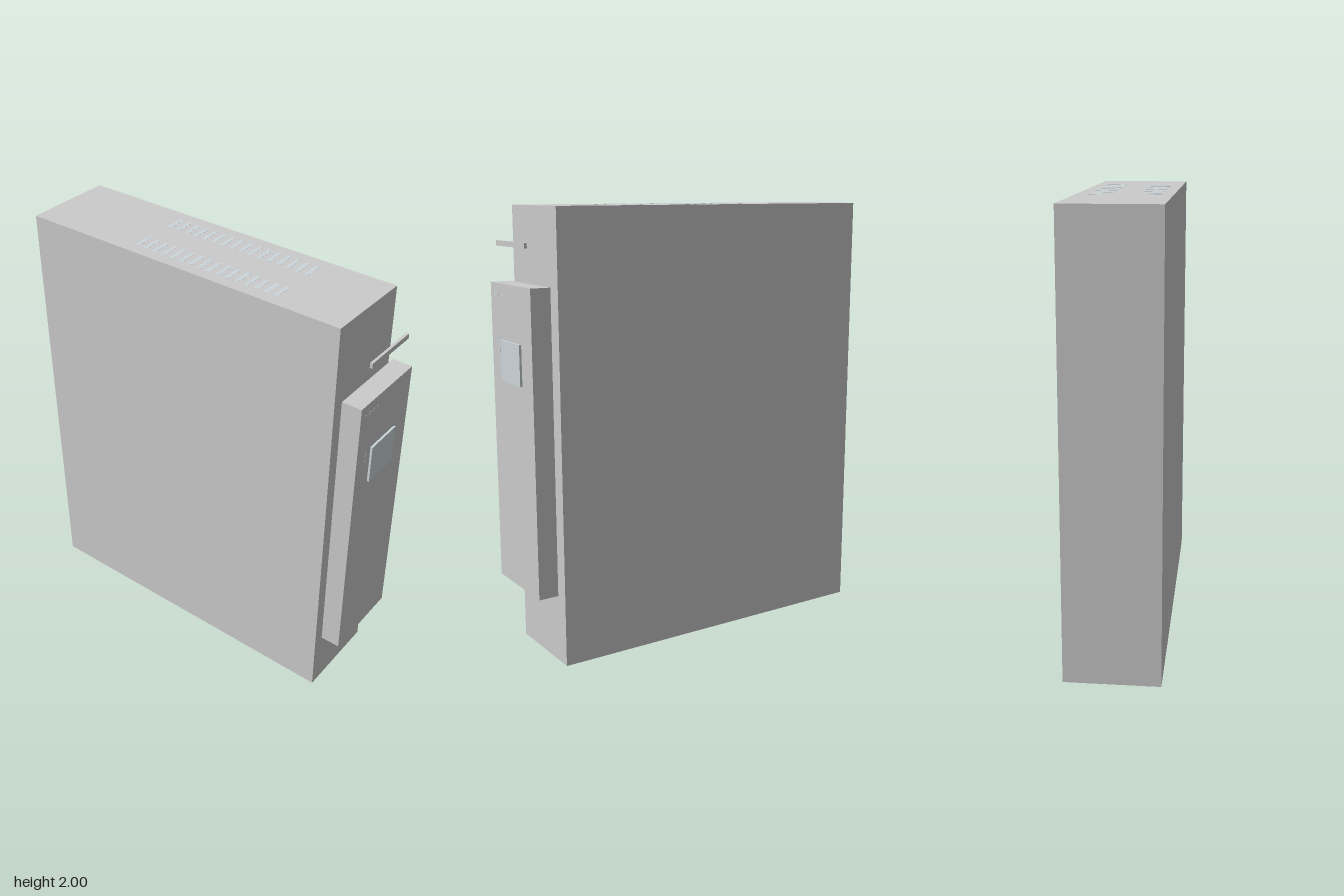
import * as THREE from 'three';

export function createModel() {
  const model = new THREE.Group();
  const grey = new THREE.MeshStandardMaterial({ color: 0xcccccc });
  const pale = new THREE.MeshStandardMaterial({ color: 0xccd6da });

  // Box given by its [min, max] range on each axis
  function box(name, [x0, x1], [y0, y1], [z0, z1], material = grey, parent = model) {
    const mesh = new THREE.Mesh(new THREE.BoxGeometry(x1 - x0, y1 - y0, z1 - z0), material);
    mesh.position.set((x0 + x1) / 2, (y0 + y1) / 2, (z0 + z1) / 2);
    mesh.name = name;
    parent.add(mesh);
    return mesh;
  }

  // Cabinet, and the parts floating just ahead of its front face
  box('cabinet', [-0.21, 0.21], [0, 2], [-0.866, 0.739]);
  box('frontPanel', [-0.2, 0.195], [0.33, 1.672], [0.765, 0.856]);
  box('statusBar', [-0.14, 0.14], [1.83, 1.853], [0.839, 0.851]);
  box('screen', [-0.095, 0.092], [1.252, 1.43], [0.854, 0.866], pale);

  // Two rows of nearly flush vent slits along the top
  const vents = new THREE.Group();
  vents.name = 'topVents';
  model.add(vents);
  for (const x of [-0.11, 0.11]) {
    for (let i = 0; i < 16; i++) {
      const z = 0.4 - i * 0.048;
      box('ventSlit', [x - 0.045, x + 0.045], [1.99, 2.0005], [z - 0.01, z + 0.01], pale, vents);
    }
  }

  // Tiny indicators on the panel: a row at the top, a column beside the screen
  const indicators = new THREE.Group();
  indicators.name = 'indicators';
  model.add(indicators);
  function indicator(x, y) {
    box('indicator', [x - 0.006, x + 0.006], [y - 0.006, y + 0.006], [0.85, 0.8565], pale, indicators);
  }
  for (let i = 0; i < 4; i++) indicator(-0.16 + i * 0.03, 1.62);
  for (let i = 0; i < 3; i++) indicator(-0.13, 1.43 - i * 0.025);

  return model;
}
